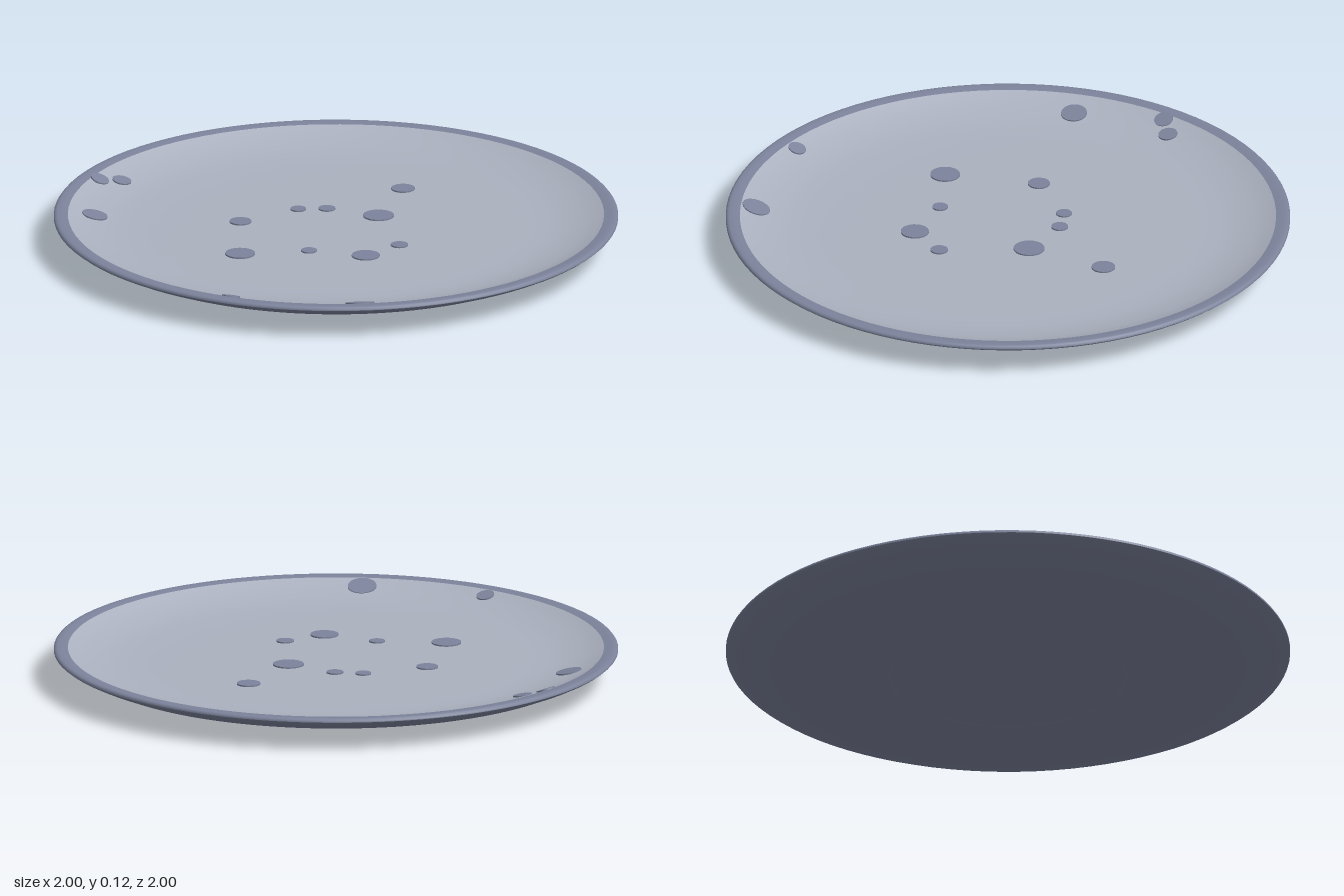
import * as THREE from 'three';

const mat = (name, color) => {
  const m = new THREE.MeshStandardMaterial({ color });
  m.name = name;
  return m;
};

// Profiles as [radius, height], running counterclockwise around the section
const UNDERSIDE = [
  [0, 0.016], [0.38, 0.016], [0.42, 0.012], [0.44, 0], [0.5, 0], [0.565, 0], [0.6, 0.019],
  [0.69, 0.024], [0.78, 0.031], [0.9, 0.06], [0.96, 0.085], [0.99, 0.1], [1, 0.108],
];
const RIM = [[1, 0.108], [1, 0.113], [0.996, 0.118], [0.988, 0.121], [0.97, 0.12], [0.95, 0.117]];
const FLOOR = [
  [0.95, 0.117], [0.92, 0.105], [0.88, 0.093], [0.82, 0.081],
  [0.76, 0.0745], [0.68, 0.072], [0.4, 0.072], [0, 0.072],
];

// Speckles as [x, z, radius]
const SPECKLES = [
  [-0.088, -0.45, 0.042], [0.04, -0.18, 0.055], [-0.145, -0.112, 0.03], [-0.217, -0.04, 0.028],
  [0.303, 0, 0.031], [0.29, 0.163, 0.05], [-0.28, 0.195, 0.039], [0.107, 0.26, 0.028],
  [-0.053, 0.447, 0.053], [-0.848, 0.195, 0.034], [-0.885, 0.27, 0.034],
  [-0.678, 0.525, 0.046], [0.663, 0.605, 0.051], [0.287, 0.87, 0.032],
];

// Height and slope of the eating surface at a radius
function floorAt(r) {
  const i = FLOOR.findIndex((p, k) => k > 0 && p[0] <= r);
  const [r1, y1] = FLOOR[i - 1], [r0, y0] = FLOOR[i];
  const slope = (y1 - y0) / (r1 - r0);
  return { y: y0 + slope * (r - r0), slope };
}

export function createModel() {
  const group = new THREE.Group();
  group.name = 'plate';
  const glaze = mat('pale grey glaze', 0xabb1bf);
  const body = mat('slate blue body', 0x7c839b);

  const turned = (name, profile, material) => {
    const pts = profile.map(([r, y]) => new THREE.Vector2(r, y));
    const mesh = new THREE.Mesh(new THREE.LatheGeometry(pts, 96), material);
    mesh.name = name;
    group.add(mesh);
  };
  turned('underside', UNDERSIDE, body);
  turned('rim', RIM, body);
  turned('eatingSurface', FLOOR, glaze);

  // Thin glaze speckles, tilted to lie along the surface
  const up = new THREE.Vector3(0, 1, 0);
  const speckles = new THREE.Group();
  speckles.name = 'speckles';
  SPECKLES.forEach(([x, z, size], i) => {
    const r = Math.hypot(x, z);
    const { y, slope } = floorAt(r);
    const normal = new THREE.Vector3(-slope * x / r, 1, -slope * z / r).normalize();
    const disc = new THREE.Mesh(new THREE.CylinderGeometry(size, size, 0.006, 24), body);
    disc.name = `speckle${i + 1}`;
    disc.position.set(x, y, z).addScaledVector(normal, 0.002);
    disc.quaternion.setFromUnitVectors(up, normal);
    speckles.add(disc);
  });
  group.add(speckles);
  return group;
}
